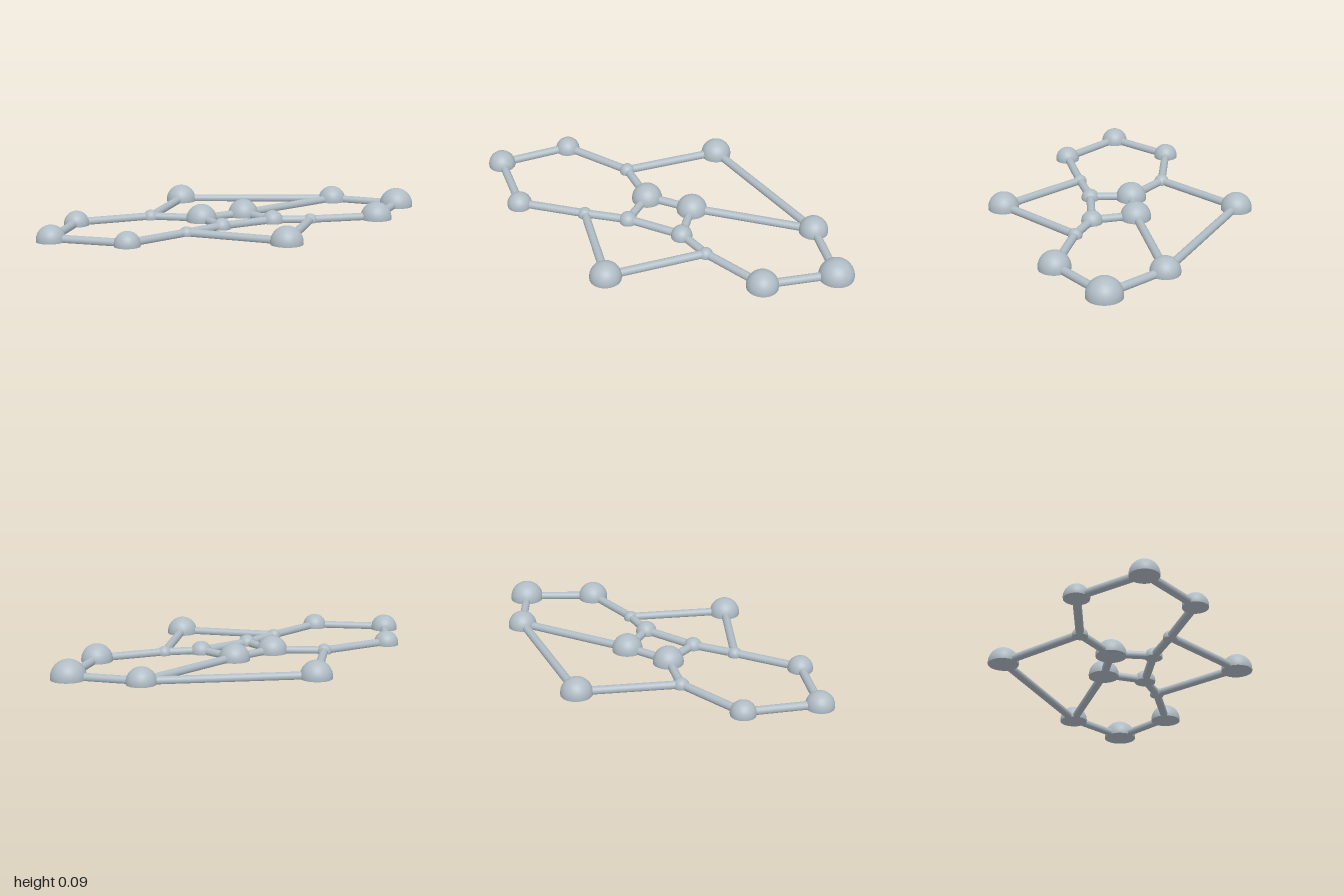
import * as THREE from 'three';
import { mergeGeometries } from 'three/addons/utils/BufferGeometryUtils.js';

// Joints of the web: x, z, radius
const NODES = {
  back: [-0.01, -0.57, 0.075],
  leftBack: [0.69, -0.207, 0.07],
  leftTip: [0.915, 0.055, 0.083],
  leftFront: [0.647, 0.28, 0.075],
  leftKnot: [0.32, 0.202, 0.034],
  innerLeftFront: [0.155, 0.128, 0.051],
  innerLeftBack: [0.102, -0.08, 0.074],
  innerRightBack: [-0.136, -0.059, 0.074],
  innerRightFront: [-0.128, 0.144, 0.043],
  rightKnot: [-0.337, 0.202, 0.034],
  rightFront: [-0.663, 0.28, 0.06],
  rightTip: [-0.933, 0.032, 0.067],
  rightBack: [-0.709, -0.244, 0.06],
  backKnot: [-0.337, -0.214, 0.037],
  front: [-0.01, 0.562, 0.075],
};

// Chains of joints linked by rods
const CHAINS = [
  ['back', 'leftBack', 'leftTip', 'leftFront', 'leftKnot', 'innerLeftFront', 'innerRightFront',
    'rightKnot', 'rightFront', 'rightTip', 'rightBack', 'backKnot', 'back'],
  ['backKnot', 'innerRightBack', 'innerLeftBack', 'leftBack'],
  ['innerRightBack', 'innerRightFront'],
  ['innerLeftBack', 'innerLeftFront'],
  ['leftKnot', 'front', 'rightKnot'],
];

const DOME_Y = 0.009, ROD_Y = 0.013, ROD_R = 0.02;

// Sphere cut flat at y = 0
function domeGeometry(r) {
  const cap = new THREE.SphereGeometry(r, 40, 20, 0, Math.PI * 2, 0, Math.acos(-DOME_Y / r));
  cap.translate(0, DOME_Y, 0);
  const base = new THREE.CircleGeometry(Math.sqrt(r * r - DOME_Y * DOME_Y), 40);
  base.rotateX(Math.PI / 2);
  return mergeGeometries([cap, base]);
}

// Round rod along z, cut flat at y = 0
function rodGeometry(length) {
  const a = Math.acos(-ROD_Y / ROD_R);
  const round = new THREE.CylinderGeometry(ROD_R, ROD_R, length, 20, 1, true, -a, 2 * a);
  round.rotateX(-Math.PI / 2);
  round.translate(0, ROD_Y, 0);
  const base = new THREE.PlaneGeometry(2 * ROD_R * Math.sin(a), length);
  base.rotateX(Math.PI / 2);
  return mergeGeometries([round, base]);
}

export function createModel() {
  const model = new THREE.Group();
  model.name = 'flatWeb';
  const grey = new THREE.MeshStandardMaterial({ color: 0xb0bcc5 });
  grey.name = 'blueGrey';

  // Domed joints
  for (const [name, [x, z, r]] of Object.entries(NODES)) {
    const dome = new THREE.Mesh(domeGeometry(r), grey);
    dome.name = name + 'Joint';
    dome.position.set(x, 0, z);
    model.add(dome);
  }

  // Connecting rods
  for (const chain of CHAINS) {
    for (let i = 1; i < chain.length; i++) {
      const [ax, az] = NODES[chain[i - 1]];
      const [bx, bz] = NODES[chain[i]];
      const rod = new THREE.Mesh(rodGeometry(Math.hypot(bx - ax, bz - az)), grey);
      rod.name = 'connectingRod';
      rod.position.set((ax + bx) / 2, 0, (az + bz) / 2);
      rod.rotation.y = Math.atan2(bx - ax, bz - az);
      model.add(rod);
    }
  }
  return model;
}
